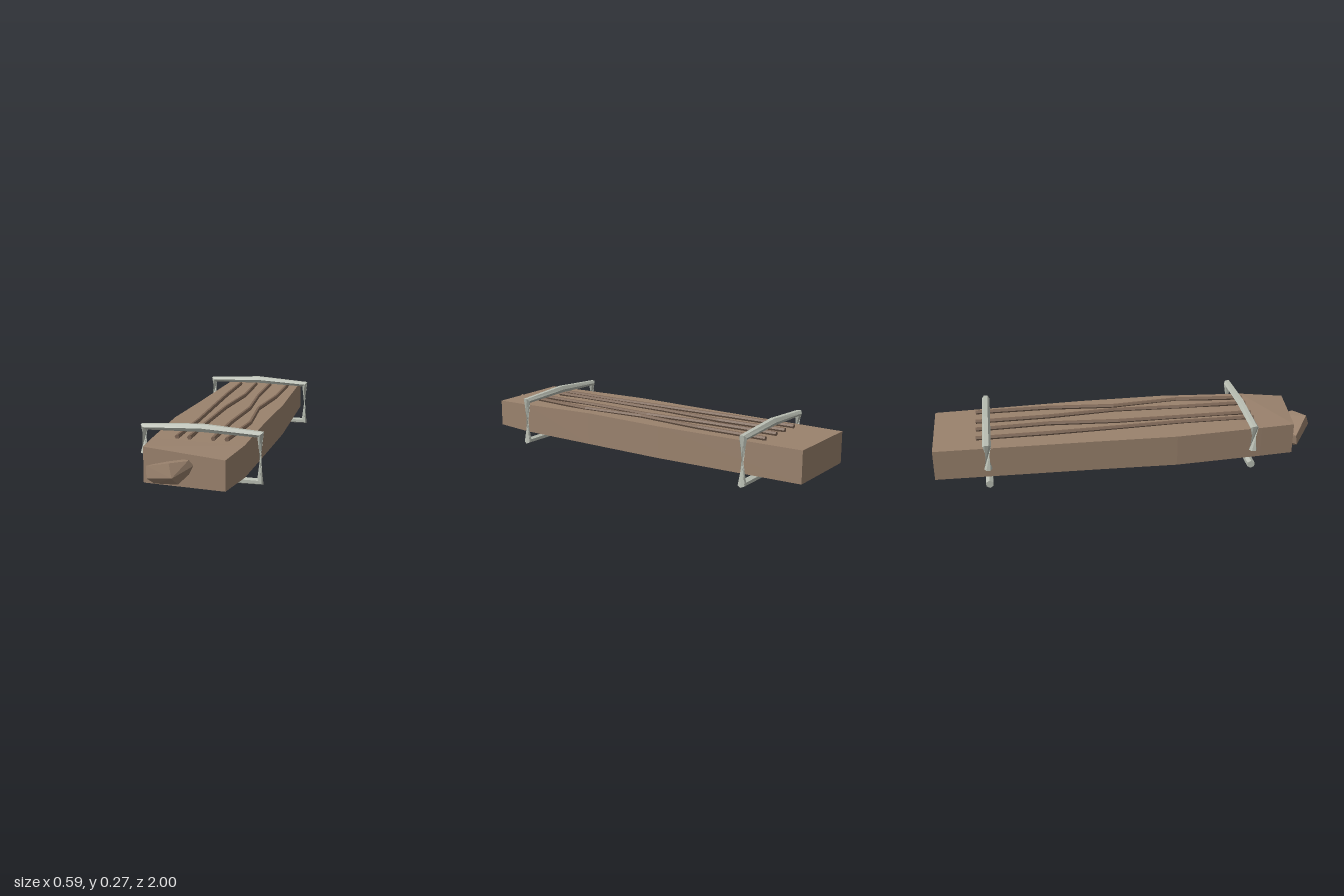
import * as THREE from 'three';
import { ConvexGeometry } from 'three/addons/geometries/ConvexGeometry.js';

// Joins rings of points (counter-clockwise about the direction of travel) into a closed, faceted solid.
function loft(rings) {
  const pos = [];
  const tri = (a, b, c) => pos.push(...a.toArray(), ...b.toArray(), ...c.toArray());
  const n = rings[0].length;
  for (let k = 0; k < rings.length - 1; k++) {
    const a = rings[k], b = rings[k + 1];
    for (let i = 0; i < n; i++) {
      const j = (i + 1) % n;
      tri(a[i], a[j], b[j]);
      tri(a[i], b[j], b[i]);
    }
  }
  const first = rings[0], last = rings[rings.length - 1];
  for (let i = 1; i < n - 1; i++) {
    tri(first[0], first[i + 1], first[i]);
    tri(last[0], last[i], last[i + 1]);
  }
  const g = new THREE.BufferGeometry();
  g.setAttribute('position', new THREE.Float32BufferAttribute(pos, 3));
  g.computeVertexNormals();
  return g;
}

const V = (x, y, z) => new THREE.Vector3(x, y, z);

// Six-sided bent bar in the xy plane; turning the ring between two points pinches the bar.
function clampGeometry() {
  const path = [
    [-0.263, 0.029, 0], [0.282, 0.02, 0], [0.281, 0.243, 150],
    [0, 0.261, 150], [-0.278, 0.253, 150], [-0.276, 0.126, 270],
  ];
  const r = 0.021;
  const dir = (a, b) => new THREE.Vector2(b[0] - a[0], b[1] - a[1]).normalize();
  return loft(path.map((p, k) => {
    const d = new THREE.Vector2();
    if (k > 0) d.add(dir(path[k - 1], p));
    if (k < path.length - 1) d.add(dir(p, path[k + 1]));
    d.normalize();
    return Array.from({ length: 6 }, (_, i) => {
      const a = THREE.MathUtils.degToRad(60 * i + p[2]);
      return V(p[0] + d.y * Math.cos(a) * r, p[1] - d.x * Math.cos(a) * r, -Math.sin(a) * r);
    });
  }));
}

// Thin six-sided strand running along z.
function strandGeometry(xs) {
  const zs = [-0.785, -0.41, -0.05, 0.3, 0.665];
  return loft(zs.map((z, k) => Array.from({ length: 6 }, (_, i) => {
    const a = i * Math.PI / 3;
    return V(xs[k] + Math.cos(a) * 0.011, 0.222 + Math.sin(a) * 0.011, z);
  })));
}

export function createModel() {
  const model = new THREE.Group();
  const mat = (name, color) => {
    const m = new THREE.MeshStandardMaterial({ color, flatShading: true });
    m.name = name;
    return m;
  };
  const wood = mat('wood', 0x9a826d);
  const darkWood = mat('dark wood', 0x7d6655);
  const metal = mat('pale metal', 0xb8bdb2);
  const add = (name, geometry, material) => {
    const mesh = new THREE.Mesh(geometry, material);
    mesh.name = name;
    model.add(mesh);
    return mesh;
  };

  // Plank: left x, left z, left top, right x, right z, right top
  const sections = [
    [-0.215, -1, 0.21, 0.215, -1, 0.21],
    [-0.232, -0.2, 0.213, 0.238, -0.22, 0.213],
    [-0.245, 0.23, 0.215, 0.23, 0.23, 0.217],
    [-0.218, 0.68, 0.216, 0.22, 0.68, 0.203],
    [-0.205, 0.855, 0.216, 0.185, 0.91, 0.19],
  ];
  add('plank', loft(sections.map(([lx, lz, lt, rx, rz, rt]) => [
    V(lx, 0.05, lz), V(rx, 0.05, rz), V(rx, rt, rz), V(lx, lt, lz),
  ])), wood);

  // Broken branch stub on the front end
  add('branchStub', new ConvexGeometry([
    V(-0.03, 0.12, 1), V(-0.05, 0.18, 0.975), V(0.02, 0.18, 0.92), V(0.04, 0.155, 0.905),
    V(0.02, 0.115, 0.905), V(-0.02, 0.077, 0.94), V(-0.145, 0.058, 0.885),
    V(-0.18, 0.08, 0.89), V(-0.185, 0.135, 0.88),
    V(-0.1, 0.08, 0.82), V(0, 0.1, 0.82), V(0, 0.17, 0.82), V(-0.1, 0.15, 0.82),
  ]), wood);

  // Grain strands along the top
  [
    [-0.125, -0.123, -0.112, -0.1, -0.104],
    [-0.03, -0.017, -0.043, -0.045, -0.045],
    [0.057, 0.062, 0.088, 0.071, 0.068],
    [0.165, 0.165, 0.135, 0.165, 0.133],
  ].forEach((xs, i) => add('strand' + (i + 1), strandGeometry(xs), darkWood));

  // Two open clamps around the plank
  const clamp = clampGeometry();
  add('frontClamp', clamp, metal).position.z = 0.62;
  add('backClamp', clamp, metal).position.z = -0.73;

  return model;
}
